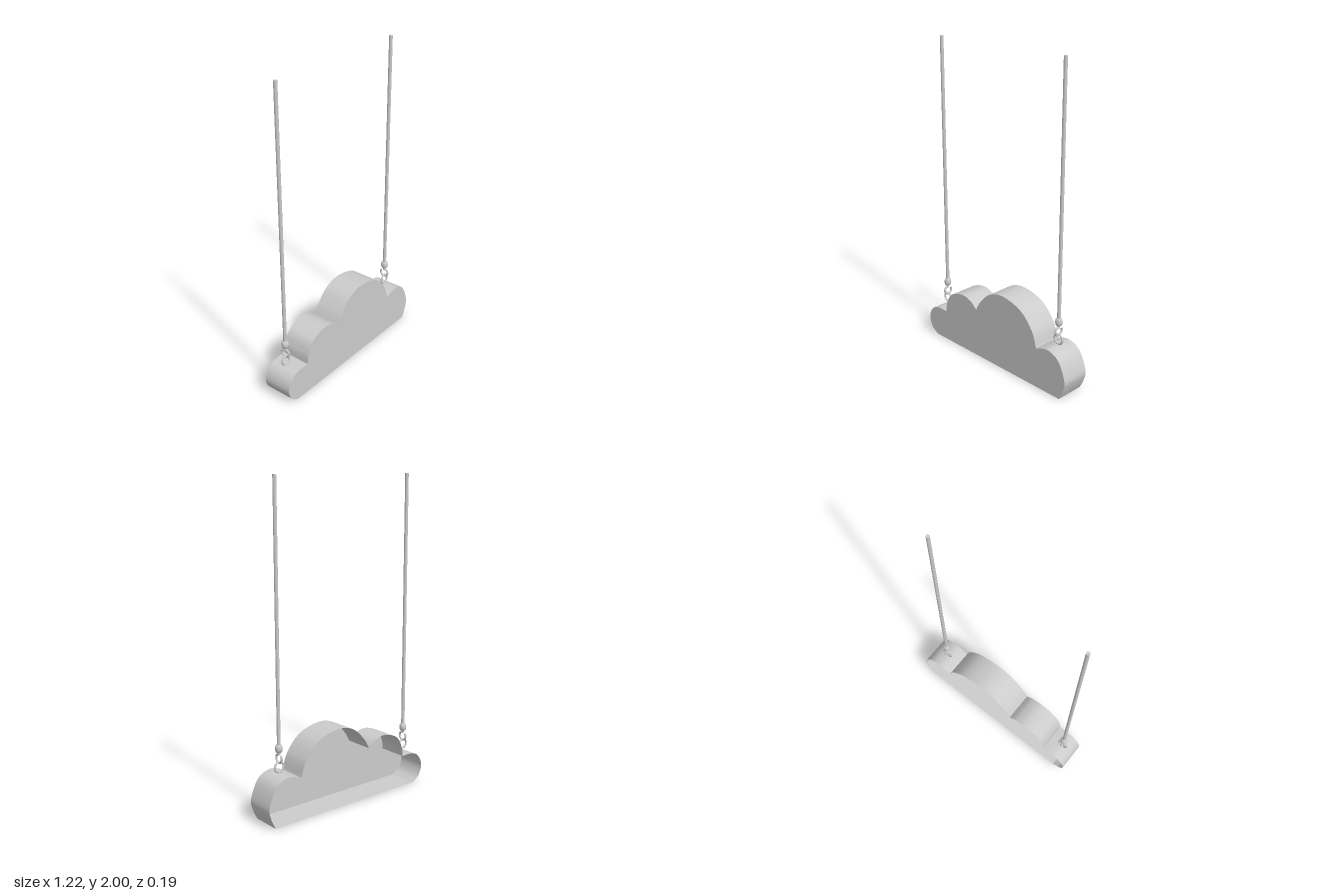
import * as THREE from 'three';
import { ParametricGeometry } from 'three/addons/geometries/ParametricGeometry.js';

const grey = new THREE.MeshStandardMaterial({ color: 0xcccccc });
const sheet = new THREE.MeshStandardMaterial({ color: 0xcccccc, side: THREE.DoubleSide });
const DEPTH = 0.094; // half depth of the cloud

// Cloud outline, one curve per lobe, from lower left over the top to lower right
const LOBES = [
  [[-0.536, 0], [-0.588, 0.035], [-0.613, 0.1], [-0.588, 0.168], [-0.53, 0.203], [-0.44, 0.205]],
  [[-0.44, 0.205], [-0.43, 0.27], [-0.385, 0.345], [-0.28, 0.382], [-0.2, 0.366], [-0.148, 0.325]],
  [[-0.148, 0.325], [-0.105, 0.395], [-0.02, 0.475], [0.098, 0.502], [0.245, 0.462], [0.34, 0.365], [0.378, 0.262]],
  [[0.378, 0.262], [0.467, 0.288], [0.555, 0.25], [0.608, 0.135], [0.598, 0.065], [0.568, 0]],
].map((pts) => new THREE.SplineCurve(pts.map(([x, y]) => new THREE.Vector2(x, y))));
const BASE = new THREE.LineCurve(new THREE.Vector2(0.568, 0), new THREE.Vector2(-0.536, 0));

function add(parent, name, geometry, material = grey) {
  const mesh = new THREE.Mesh(geometry, material);
  mesh.name = name;
  parent.add(mesh);
  return mesh;
}

// Thin wall swept from the front plate to the open back
function wall(curve, steps) {
  return new ParametricGeometry((u, v, target) => {
    const p = curve.getPoint(u);
    target.set(p.x, p.y, DEPTH * (1 - 2 * v));
  }, steps, 1);
}

function createCloud() {
  const cloud = new THREE.Group();
  cloud.name = 'cloud';
  const outline = LOBES.flatMap((curve) => curve.getPoints(24).slice(0, -1));
  outline.push(BASE.v1.clone());
  add(cloud, 'frontPlate', new THREE.ShapeGeometry(new THREE.Shape(outline)), sheet).position.z = DEPTH;
  LOBES.forEach((curve, i) => add(cloud, `lobeWall${i + 1}`, wall(curve, 24), sheet));
  add(cloud, 'basePlate', wall(BASE, 1), sheet);
  return cloud;
}

// Ring on the cloud, hook through it, ferrule and rope; y is the ring centre
function createHanger(name, x, y, top) {
  const hanger = new THREE.Group();
  hanger.name = name;
  hanger.position.set(x, y, 0);

  add(hanger, 'ring', new THREE.TorusGeometry(0.031, 0.006, 10, 32));

  const hook = add(hanger, 'hook', new THREE.TorusGeometry(0.027, 0.0065, 10, 32, Math.PI * 1.75));
  hook.position.y = 0.053;
  hook.rotation.set(0, Math.PI / 2, 0);
  hook.rotateZ(Math.PI / 2); // arc starts at the top, under the ferrule

  const shank = add(hanger, 'hookShank', new THREE.CylinderGeometry(0.008, 0.008, 0.02, 12));
  shank.position.y = 0.085;

  const profile = [[0, 0.088], [0.014, 0.09], [0.02, 0.098], [0.023, 0.115], [0.02, 0.131], [0.013, 0.139], [0, 0.14]];
  add(hanger, 'ferrule', new THREE.LatheGeometry(profile.map(([r, h]) => new THREE.Vector2(r, h)), 20));

  const length = top - y - 0.13;
  const rope = add(hanger, 'rope', new THREE.CylinderGeometry(0.011, 0.011, length, 16));
  rope.position.y = 0.13 + length / 2;
  return hanger;
}

export function createModel() {
  const model = new THREE.Group();
  model.name = 'hangingCloud';
  model.add(
    createCloud(),
    createHanger('rightHanger', -0.53, 0.246, 1.993),
    createHanger('leftHanger', 0.47, 0.325, 2),
  );
  return model;
}
